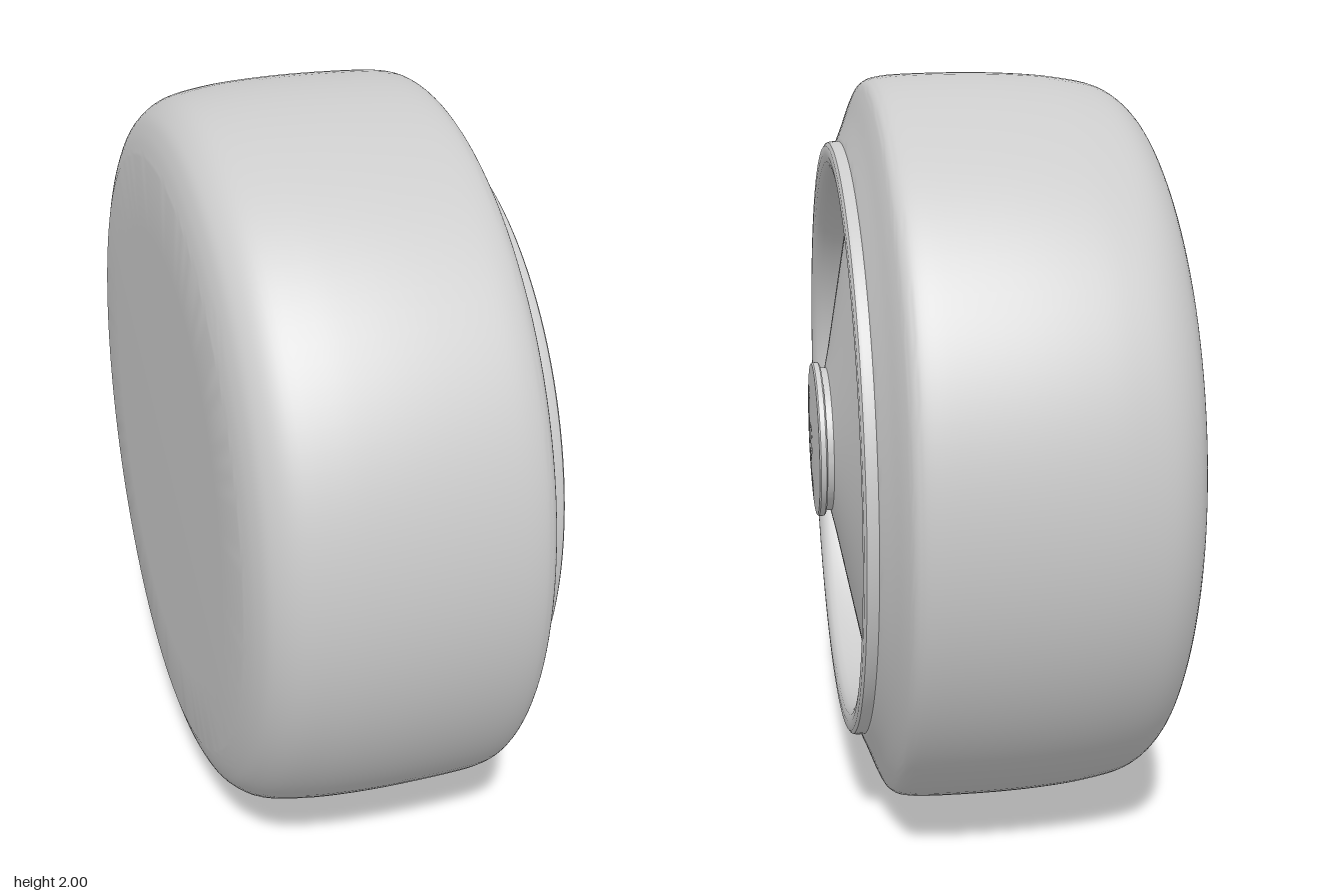
import * as THREE from 'three';
import { toCreasedNormals } from 'three/addons/utils/BufferGeometryUtils.js';

const material = new THREE.MeshStandardMaterial({ color: 0xcccccc, side: THREE.DoubleSide });

// Turns a profile of [radius, position along the axle] pairs
function turned(name, profile, crease = 0.6) {
  const points = profile.map(([r, a]) => new THREE.Vector2(r, a));
  const mesh = new THREE.Mesh(toCreasedNormals(new THREE.LatheGeometry(points, 128), crease), material);
  mesh.name = name;
  return mesh;
}

export function createModel() {
  const wheel = new THREE.Group();
  wheel.name = 'wheel';

  // Rounded tread; smooth curve between the shoulder points
  const tread = new THREE.SplineCurve([
    [0.82, -0.447], [0.875, -0.43], [0.925, -0.4], [0.965, -0.34], [0.986, -0.24], [0.996, -0.13],
    [1, 0], [0.998, 0.15], [0.992, 0.235], [0.977, 0.275], [0.945, 0.295], [0.88, 0.32], [0.82, 0.345],
  ].map(([r, a]) => new THREE.Vector2(r, a))).getPoints(60).map(p => [p.x, p.y]);
  wheel.add(turned('tyre', [[0, -0.45], [0.62, -0.45], ...tread, [0.79, 0.345]]));

  // Raised rim with a recessed inner wall
  wheel.add(turned('rim', [
    [0.82, 0.335], [0.82, 0.365], [0.817, 0.374], [0.808, 0.38], [0.785, 0.381],
    [0.765, 0.377], [0.752, 0.366], [0.744, 0.35], [0.738, 0.32], [0.735, 0.285],
  ]));

  // Shallow cone between rim and hub
  wheel.add(turned('wheelDisc', [[0.737, 0.287], [0.5, 0.334], [0.27, 0.38], [0.2, 0.396]]));

  // Hub neck and domed cap with a small centre groove
  wheel.add(turned('hubNeck', [[0.2, 0.385], [0.2, 0.416]]));
  wheel.add(turned('hubCap', [
    [0.19, 0.414], [0.21, 0.414], [0.215, 0.418], [0.215, 0.432], [0.211, 0.436],
    [0.12, 0.441], [0.042, 0.444], [0.04, 0.439], [0.036, 0.439], [0.034, 0.444], [0, 0.445],
  ]));

  // Lay the axle along x and stand the wheel on the ground
  wheel.rotation.z = -Math.PI / 2;
  wheel.position.y = 1;
  const model = new THREE.Group();
  model.add(wheel);
  return model;
}
